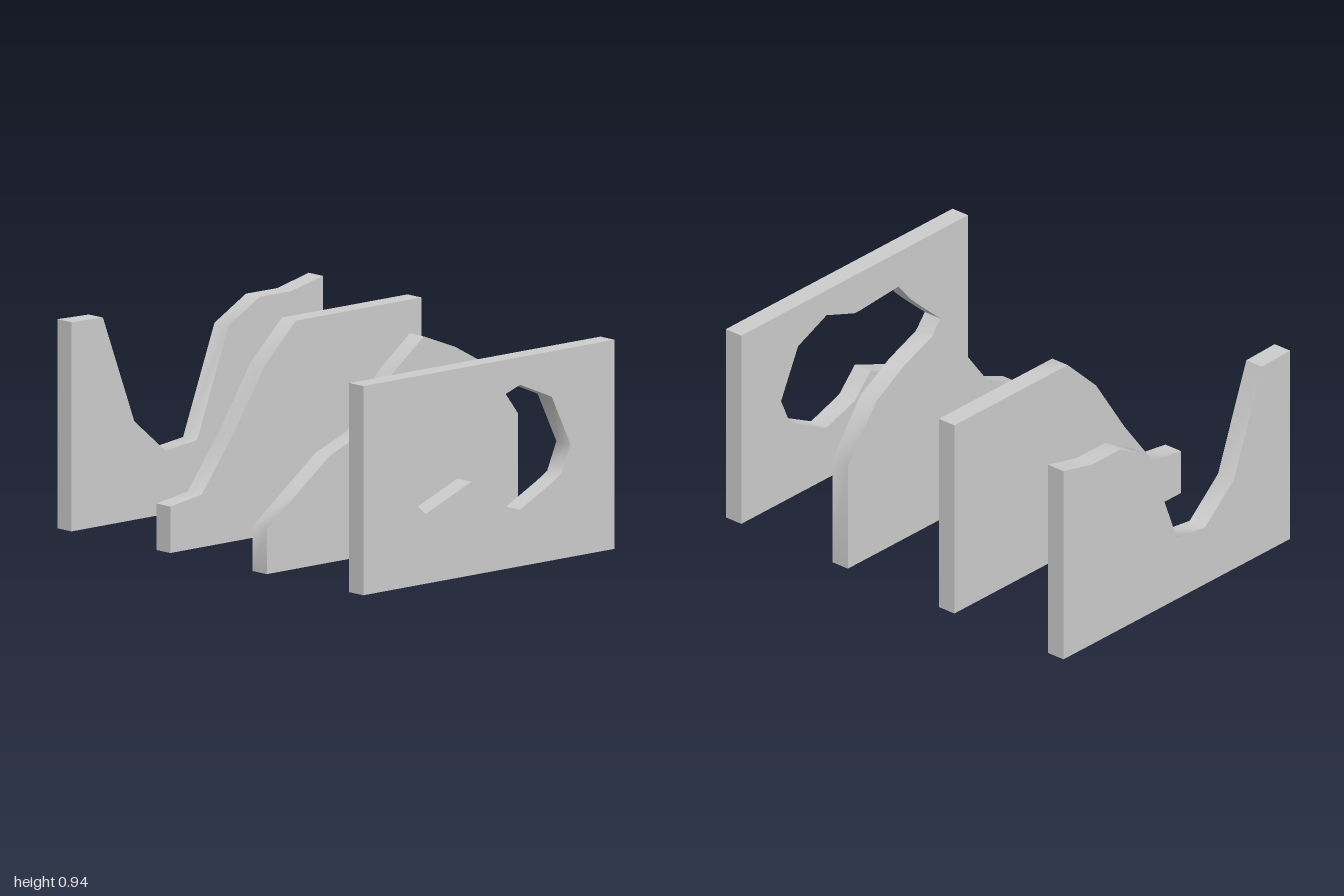
import * as THREE from 'three';
import { toCreasedNormals } from 'three/addons/utils/BufferGeometryUtils.js';

const HALF = 0.755, TOP = 0.945, THICK = 0.092;
const material = new THREE.MeshStandardMaterial({ color: 0xcccccc });

// Panel whose top edge follows evenly spaced heights from -x to +x
function panel(name, heights, backZ, holePoints) {
  const step = (2 * HALF) / (heights.length - 1);
  const shape = new THREE.Shape();
  shape.moveTo(-HALF, 0);
  shape.lineTo(HALF, 0);
  for (let i = heights.length - 1; i >= 0; i--) shape.lineTo(-HALF + i * step, heights[i]);
  shape.closePath();
  if (holePoints) {
    shape.holes.push(new THREE.Path(holePoints.map(([x, y]) => new THREE.Vector2(x, y))));
  }
  const extruded = new THREE.ExtrudeGeometry(shape, { depth: THICK, bevelEnabled: false });
  const mesh = new THREE.Mesh(toCreasedNormals(extruded, 1.1), material);
  mesh.name = name;
  mesh.position.z = backZ;
  return mesh;
}

export function createModel() {
  const group = new THREE.Group();
  group.name = 'sectionPanels';

  // Irregular opening in the front panel
  const opening = [
    [-0.57, 0.5], [-0.445, 0.61], [-0.38, 0.67], [-0.29, 0.772], [-0.04, 0.755], [0, 0.755],
    [0.187, 0.82], [0.377, 0.74], [0.49, 0.51], [0.435, 0.385], [0.377, 0.35], [0.187, 0.255],
    [0, 0.315], [-0.105, 0.423], [-0.38, 0.315], [-0.52, 0.44],
  ];

  group.add(
    panel('frontPanelWithOpening', [TOP, TOP], 1 - THICK, opening),
    // Peaked panel
    panel('peakedPanel', [0.205, 0.343, 0.482, 0.555, 0.8, 0.943, 0.87, 0.765, 0.517], 0.277),
    // Panel rising to a plateau
    panel('plateauPanel', [0.21, 0.238, 0.484, 0.767, TOP, TOP, TOP, TOP, TOP], -0.354),
    // Panel with a deep valley
    panel('valleyPanel', [TOP, 0.94, 0.445, 0.285, 0.308, 0.798, 0.903, 0.902, TOP], -1),
  );
  return group;
}
